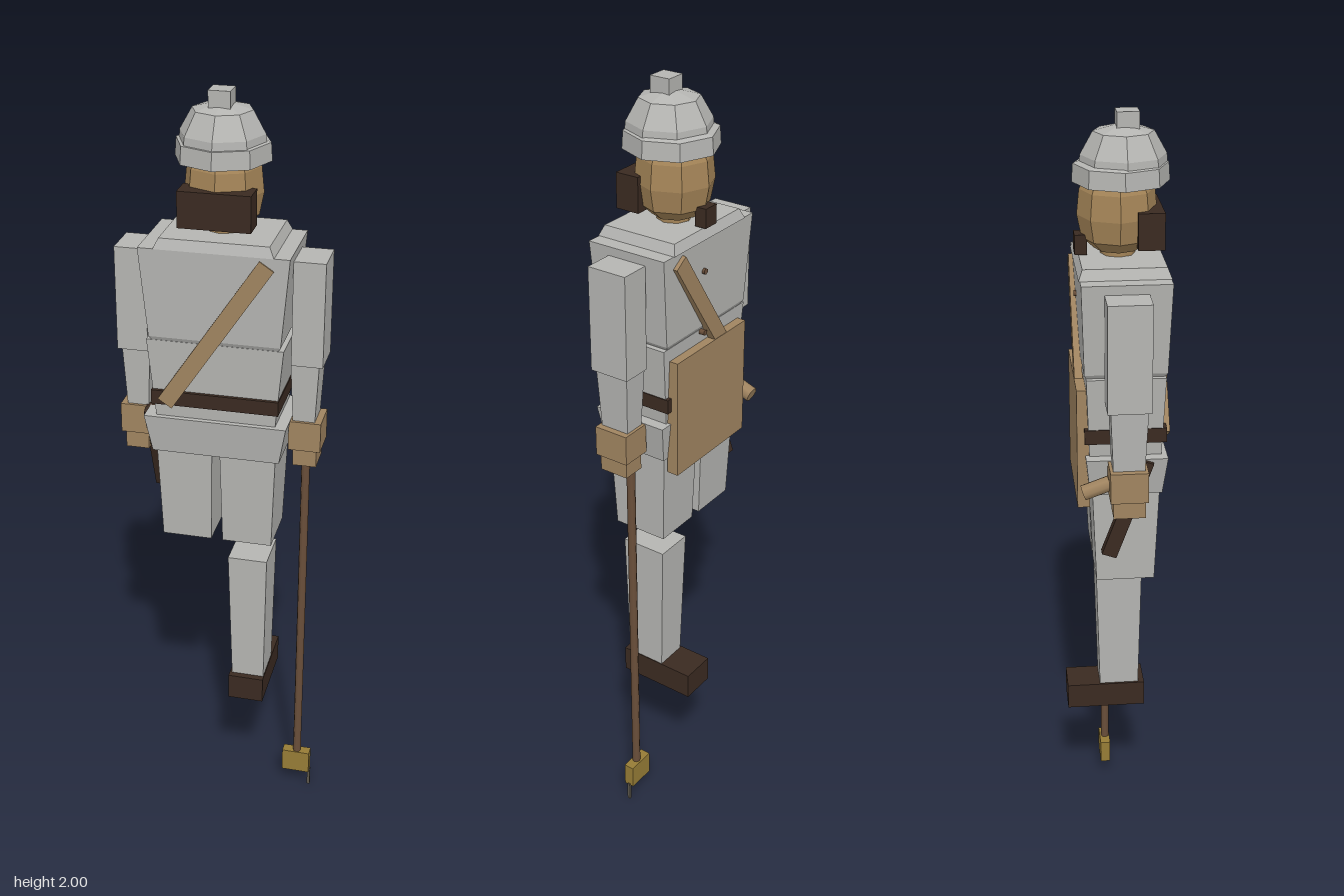
import * as THREE from 'three';

const paint = (name, color) => {
  const m = new THREE.MeshStandardMaterial({ color });
  m.name = name;
  return m;
};

export function createModel() {
  const model = new THREE.Group();
  const cloth = paint('grey cloth', 0xb5b5b2);
  const skin = paint('tan skin', 0xa58558);
  const leather = paint('tan leather', 0xa08460);
  const dark = paint('dark brown', 0x3a2a21);
  const wood = paint('staff wood', 0x6a4f3a);
  const brass = paint('brass', 0x967c36);
  const iron = paint('iron', 0x5c564a);

  const add = (name, geo, mat, x = 0, y = 0, z = 0) => {
    const mesh = new THREE.Mesh(geo, mat);
    mesh.name = name;
    mesh.position.set(x, y, z);
    model.add(mesh);
    return mesh;
  };

  // Box with separate bottom and top outlines, each [x0, x1, z0, z1]
  const block = (name, mat, y0, y1, low, high = low) => {
    const geo = new THREE.BoxGeometry(1, 1, 1);
    const p = geo.attributes.position;
    for (let i = 0; i < p.count; i++) {
      const top = p.getY(i) > 0;
      const [x0, x1, z0, z1] = top ? high : low;
      p.setXYZ(i, p.getX(i) < 0 ? x0 : x1, top ? y1 : y0, p.getZ(i) < 0 ? z0 : z1);
    }
    geo.computeVertexNormals();
    return add(name, geo, mat);
  };
  const flip = ([x0, x1, z0, z1]) => [-x1, -x0, z0, z1];
  const pair = (name, mat, y0, y1, low, high = low) => {
    block('left' + name, mat, y0, y1, low, high);
    block('right' + name, mat, y0, y1, flip(low), flip(high));
  };

  // Eight-sided faceted shape turned around the y axis
  const turned = (name, mat, profile, z) => {
    const pts = profile.map(([r, y]) => new THREE.Vector2(r, y));
    const geo = new THREE.LatheGeometry(pts, 8).toNonIndexed();
    geo.computeVertexNormals();
    return add(name, geo, mat, 0, 0, z);
  };

  // Torso
  block('collar', cloth, 1.64, 1.665, [-0.145, 0.145, -0.1, 0.119], [-0.133, 0.133, -0.09, 0.109]);
  block('chest', cloth, 1.415, 1.64, [-0.163, 0.163, -0.09, 0.11], [-0.183, 0.183, -0.097, 0.117]);
  block('chestHem', cloth, 1.395, 1.415, [-0.15, 0.15, -0.08, 0.1], [-0.163, 0.163, -0.09, 0.11]);
  block('waist', cloth, 1.19, 1.405, [-0.15, 0.15, -0.078, 0.098], [-0.17, 0.17, -0.086, 0.106]);
  block('belt', dark, 1.235, 1.272, [-0.16, 0.16, -0.09, 0.11]);
  block('tunicSkirt', cloth, 1.1, 1.2, [-0.162, 0.162, -0.078, 0.1], [-0.18, 0.18, -0.088, 0.112]);

  // Arms and hands
  pair('UpperArm', cloth, 1.352, 1.617, [0.18, 0.258, -0.043, 0.062]);
  pair('Forearm', cloth, 1.19, 1.352, [0.185, 0.24, -0.028, 0.048], [0.178, 0.248, -0.035, 0.055]);
  pair('Cuff', leather, 1.12, 1.198, [0.176, 0.257, -0.036, 0.056]);
  pair('Fist', leather, 1.075, 1.12, [0.187, 0.247, -0.028, 0.05]);

  // Legs, with the lower leg on the left side only
  pair('Thigh', cloth, 0.85, 1.105, [0.015, 0.143, -0.062, 0.085], [0.01, 0.152, -0.072, 0.095]);
  block('lowerLeg', cloth, 0.415, 0.79, [0.037, 0.124, -0.04, 0.066], [0.027, 0.13, -0.05, 0.073]);
  block('boot', dark, 0.345, 0.417, [0.031, 0.126, -0.13, 0.083]);

  // Head, beard and hair knot
  add('neck', new THREE.CylinderGeometry(0.042, 0.042, 0.08, 8), skin, 0, 1.69, 0.005).material = skin;
  turned('head', skin, [[0, 1.675], [0.055, 1.678], [0.085, 1.705], [0.096, 1.76],
    [0.09, 1.82], [0.07, 1.86], [0, 1.875]], 0.003);
  block('beard', dark, 1.692, 1.78, [-0.088, 0.088, 0.045, 0.108]);
  block('hairKnot', dark, 1.667, 1.715, [-0.022, 0.022, -0.1, -0.07]);

  // Helmet
  turned('helmetBrim', cloth, [[0, 1.837], [0.116, 1.837], [0.113, 1.88], [0.1, 1.885], [0, 1.885]], 0.012);
  turned('helmetDome', cloth, [[0.104, 1.88], [0.102, 1.9], [0.072, 1.953], [0, 1.972]], 0.018);
  block('helmetKnob', cloth, 1.955, 2, [-0.026, 0.026, 0, 0.053]);

  // Shoulder strap, front and back
  const from = new THREE.Vector2(0.128, 1.62), to = new THREE.Vector2(-0.123, 1.243);
  const run = from.clone().sub(to);
  for (const [name, z] of [['frontStrap', 0.11], ['backStrap', -0.097]]) {
    const strap = add(name, new THREE.BoxGeometry(run.length(), 0.042, 0.02), leather,
      (from.x + to.x) / 2, (from.y + to.y) / 2, z);
    strap.rotation.z = Math.atan2(run.y, run.x);
  }

  // Satchel and back buttons
  block('satchel', leather, 1.06, 1.37, [-0.145, 0.145, -0.108, -0.078]);
  for (const y of [1.56, 1.48, 1.4]) {
    const button = add('backButton', new THREE.CylinderGeometry(0.008, 0.008, 0.014, 6), wood, 0.02, y, -0.094);
    button.rotation.x = Math.PI / 2;
  }

  // Scabbard and hilt beside the right thigh
  const scabbard = add('scabbard', new THREE.BoxGeometry(0.025, 0.27, 0.038), dark, -0.178, 1.07, 0.012);
  scabbard.rotation.x = 0.35;
  const hilt = add('hilt', new THREE.CylinderGeometry(0.02, 0.02, 0.07, 8), leather, -0.203, 1.14, -0.065);
  hilt.rotation.x = Math.PI / 2 - 0.35;

  // Staff with brass foot and iron tip
  add('staff', new THREE.CylinderGeometry(0.011, 0.011, 0.98, 8), wood, 0.21, 0.6, -0.013);
  block('staffFoot', brass, 0.05, 0.117, [0.17, 0.247, -0.028, 0]);
  block('staffTip', iron, 0, 0.055, [0.242, 0.25, -0.018, -0.01]);

  return model;
}
